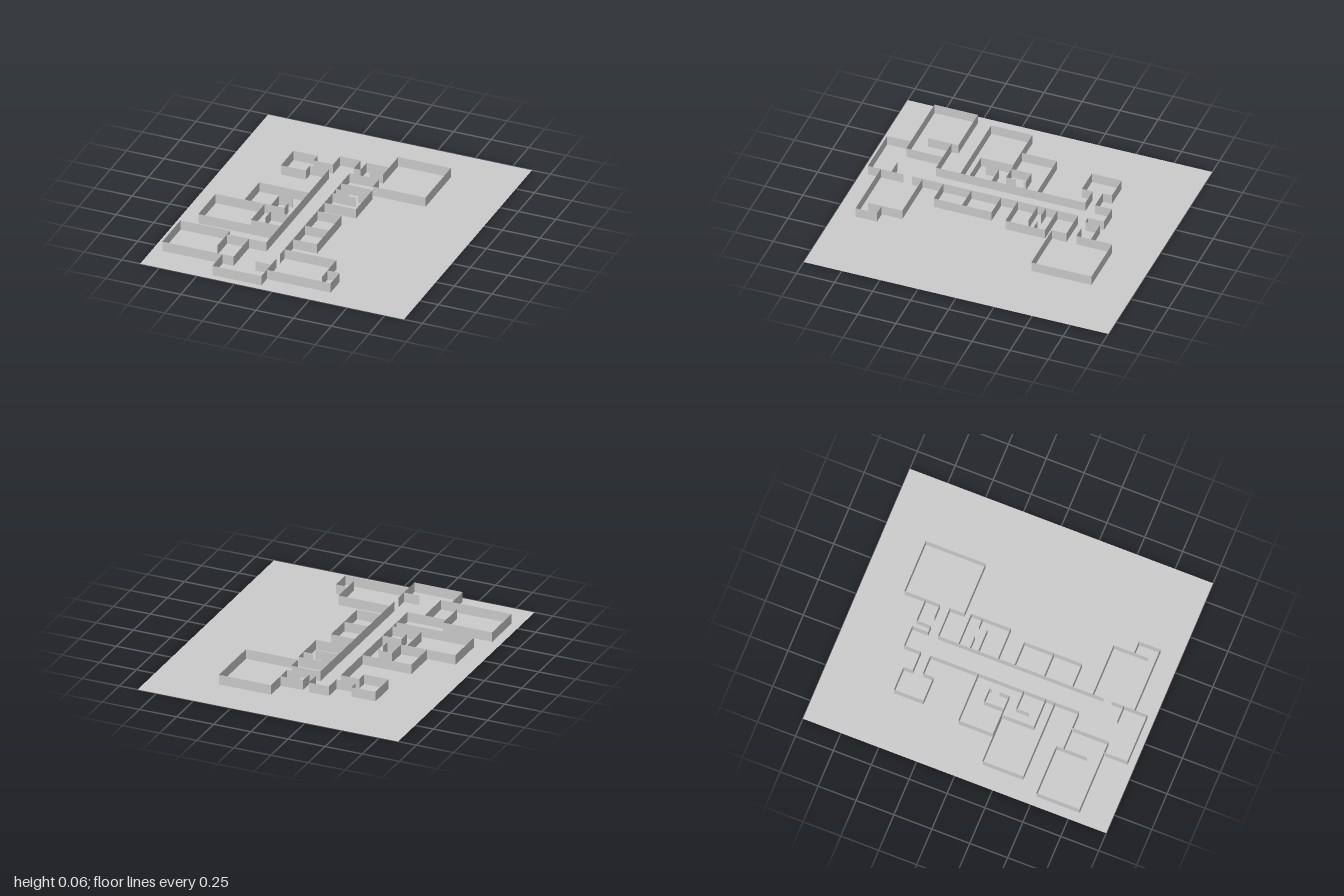
import * as THREE from 'three';
import { mergeGeometries } from 'three/addons/utils/BufferGeometryUtils.js';

const HEIGHT = 0.065;

// Wall runs as corner points [x, z]; breaks between runs are doorways.
const ROOMS = {
  hallWestWall: [
    [[-0.09, -0.595], [-0.225, -0.595], [-0.225, -0.485]],
    [[-0.225, -0.42], [-0.225, 0.56]],
  ],
  hallEastWall: [
    [[-0.09, -0.595], [-0.09, -0.49]],
    [[-0.09, -0.425], [-0.09, 0.665]],
    [[-0.09, 0.72], [-0.09, 0.955]],
  ],
  backLeftRoom: [
    [[0.015, -0.49], [0.105, -0.49], [0.105, -0.725], [0.455, -0.725],
      [0.455, -0.33], [0.105, -0.33], [0.105, -0.425], [-0.09, -0.425]],
    [[0.105, -0.585], [-0.045, -0.585], [-0.045, -0.49], [-0.09, -0.49]],
  ],
  backRightRoom: [
    [[-0.225, -0.485], [-0.355, -0.485], [-0.355, -0.545], [-0.515, -0.545],
      [-0.515, -0.35], [-0.35, -0.35], [-0.35, -0.42], [-0.225, -0.42]],
  ],
  leftMiddleRoom: [
    [[-0.09, -0.29], [0.12, -0.29], [0.12, -0.03], [-0.09, -0.03]],
    [[-0.09, -0.215], [-0.005, -0.215]],
    [[0.055, -0.215], [0.12, -0.215]],
    [[-0.09, -0.16], [0.065, -0.16]],
  ],
  leftTwinRooms: [
    [[-0.09, 0.08], [0.07, 0.08], [0.07, 0.46], [-0.09, 0.46]],
    [[-0.09, 0.275], [0.07, 0.275]],
  ],
  rightMiddleRoom: [
    [[-0.225, -0.105], [-0.555, -0.105], [-0.555, 0.125], [-0.38, 0.125],
      [-0.38, -0.005], [-0.29, -0.005], [-0.29, 0.01]],
    [[-0.38, 0.125], [-0.29, 0.125], [-0.29, 0.06]],
    [[-0.225, 0.195], [-0.35, 0.195], [-0.35, 0.28]],
  ],
  rightSideRoom: [
    [[-0.225, 0.34], [-0.42, 0.34], [-0.42, 0.13], [-0.745, 0.13],
      [-0.745, 0.4], [-0.225, 0.4]],
  ],
  frontRightRoom: [
    [[-0.485, 0.715], [-0.485, 0.515], [-0.815, 0.515], [-0.815, 0.8], [-0.34, 0.8], [-0.34, 0.56]],
    [[-0.485, 0.56], [-0.225, 0.56]],
  ],
  entranceRoom: [
    [[-0.34, 0.8], [-0.415, 0.8], [-0.415, 0.955], [-0.09, 0.955]],
    [[-0.195, 0.8], [-0.09, 0.8]],
  ],
  frontLeftRoom: [
    [[-0.09, 0.595], [0.255, 0.595], [0.255, 0.82]],
    [[0.255, 0.73], [0.335, 0.73], [0.335, 0.87], [-0.09, 0.87]],
  ],
};

// Upright sheet between two floor points
function wallPanel([x1, z1], [x2, z2]) {
  const panel = new THREE.PlaneGeometry(Math.hypot(x2 - x1, z2 - z1), HEIGHT);
  panel.rotateY(-Math.atan2(z2 - z1, x2 - x1));
  panel.translate((x1 + x2) / 2, HEIGHT / 2, (z1 + z2) / 2);
  return panel;
}

export function createModel() {
  const group = new THREE.Group();
  group.name = 'floorPlan';
  const material = new THREE.MeshStandardMaterial({ color: 0xcccccc, side: THREE.DoubleSide });

  // Ground sheet
  const floor = new THREE.Mesh(new THREE.PlaneGeometry(1.755, 2).rotateX(-Math.PI / 2), material);
  floor.name = 'floor';
  group.add(floor);

  // Thin open-topped walls, one mesh per room
  for (const [name, runs] of Object.entries(ROOMS)) {
    const panels = runs.flatMap((run) => run.slice(1).map((end, i) => wallPanel(run[i], end)));
    const walls = new THREE.Mesh(mergeGeometries(panels), material);
    walls.name = name;
    group.add(walls);
  }
  return group;
}
